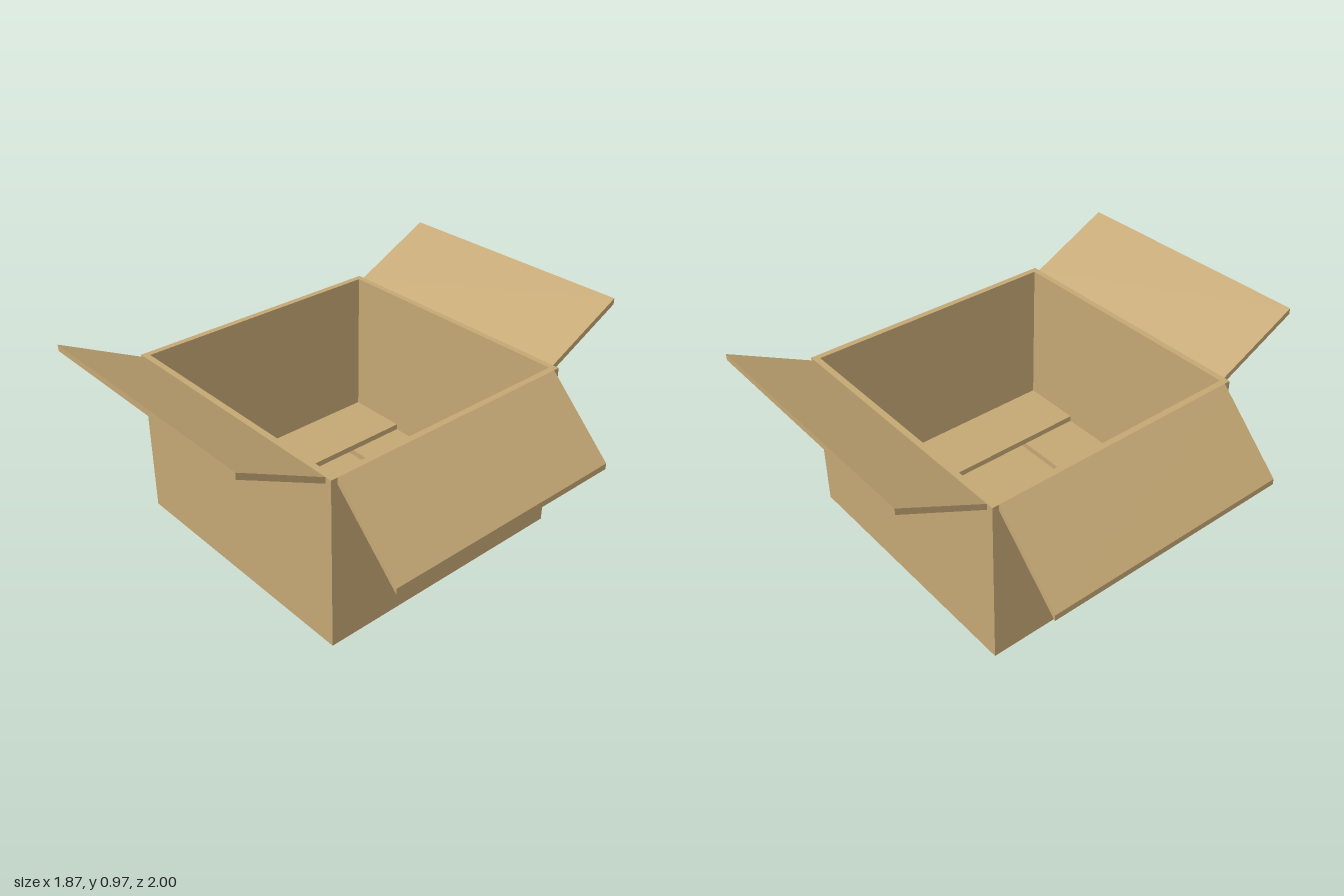
import * as THREE from 'three';

export function createModel() {
  const model = new THREE.Group();
  model.name = 'openCarton';
  const cardboard = new THREE.MeshStandardMaterial({ color: 0xc4a774 });
  cardboard.name = 'cardboard';

  const R = 0.622, T = 0.028, H = 0.78; // half width, board thickness, height
  const inner = R - T;

  const add = (name, geometry, parent = model) => {
    const mesh = new THREE.Mesh(geometry, cardboard);
    mesh.name = name;
    parent.add(mesh);
    return mesh;
  };

  // Square shell: four walls as one extruded frame, standing on the base
  const frame = new THREE.Shape();
  frame.moveTo(-R, -R).lineTo(R, -R).lineTo(R, R).lineTo(-R, R).closePath();
  const hole = new THREE.Path();
  hole.moveTo(-inner, -inner).lineTo(-inner, inner).lineTo(inner, inner).lineTo(inner, -inner).closePath();
  frame.holes.push(hole);
  const walls = new THREE.ExtrudeGeometry(frame, { depth: H, bevelEnabled: false });
  walls.rotateX(-Math.PI / 2);
  add('walls', walls);

  const base = add('base', new THREE.BoxGeometry(inner * 2, T, inner * 2));
  base.position.y = T / 2;

  // Open top flap: slanted board with upright cut edges, reaching along +x
  const topFlap = (reach, tipY) => {
    const s = new THREE.Shape();
    s.moveTo(R, H - T).lineTo(reach, tipY - T).lineTo(reach, tipY).lineTo(R, H).closePath();
    const g = new THREE.ExtrudeGeometry(s, { depth: 1.184, bevelEnabled: false });
    return g.translate(0, 0, -0.592);
  };

  // One top flap and one folded floor flap per side
  const sides = [
    { name: 'left', turn: 0, reach: 0.935, tipY: 0.473, layer: 2 },
    { name: 'back', turn: 1, reach: 1, tipY: 0.97, layer: 1 },
    { name: 'right', turn: 2, reach: 0.935, tipY: 0.473, layer: 2 },
    { name: 'front', turn: 3, reach: 1, tipY: 0.97, layer: 1 },
  ];
  for (const { name, turn, reach, tipY, layer } of sides) {
    const side = new THREE.Group();
    side.name = name + 'Flaps';
    side.rotation.y = turn * Math.PI / 2;
    model.add(side);
    add(name + 'TopFlap', topFlap(reach, tipY), side);
    const floor = add(name + 'FloorFlap', new THREE.BoxGeometry(inner - 0.3, T, inner * 2), side);
    floor.position.set((inner + 0.3) / 2, T * (layer + 0.5), 0);
  }
  return model;
}
